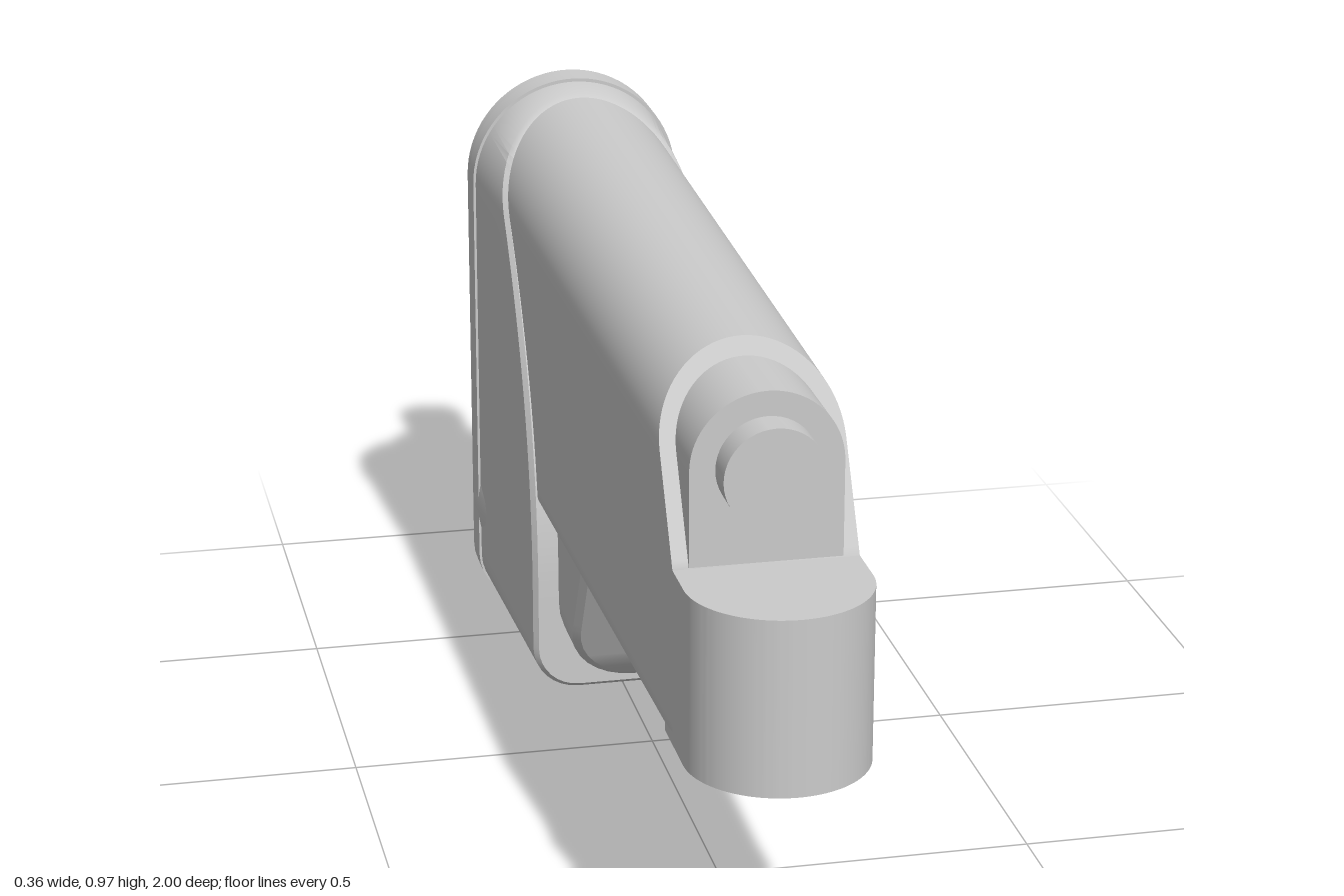
import * as THREE from 'three';
import { toCreasedNormals } from 'three/addons/utils/BufferGeometryUtils.js';

const SHAFT_Y = 0.79, BORE_Y = 0.185;

// Right half of an upright section: rounded lower corner, straight side, half-round top
function halfSection(w, y0, y1, r) {
  const pts = [];
  for (let i = 0; i <= 8; i++) {
    const a = -Math.PI / 2 + (i / 8) * Math.PI / 2;
    pts.push([w - r + r * Math.cos(a), y0 + r + r * Math.sin(a)]);
  }
  for (let i = 1; i < 32; i++) pts.push([w, y0 + r + (y1 - w - y0 - r) * i / 32]);
  for (let i = 0; i <= 20; i++) {
    const a = (i / 20) * Math.PI / 2;
    pts.push([w * Math.cos(a), y1 - w + w * Math.sin(a)]);
  }
  return pts;
}

const mirrored = (half) => half.concat(half.map(([x, y]) => [-x, y]).reverse());

// Surface through sections listed front to back; zOf(y) bends a section along z
function loft(sections, capBack = false) {
  const pos = [], idx = [];
  const loops = sections.map(({ half, zOf }) => mirrored(half).map(([x, y]) => [x, y, zOf(y)]));
  const n = loops[0].length;
  loops.forEach((l) => l.forEach((p) => pos.push(...p)));
  for (let s = 0; s < loops.length - 1; s++) {
    for (let i = 0; i < n; i++) {
      const a = s * n + i, b = s * n + (i + 1) % n;
      idx.push(a, a + n, b, b, a + n, b + n);
    }
  }
  // Caps are horizontal strips between mirrored points
  const back = (loops.length - 1) * n;
  for (let i = 0; i < n / 2 - 1; i++) {
    const a = i, b = i + 1, c = n - 2 - i, d = n - 1 - i;
    idx.push(a, b, c, a, c, d);
    if (capBack) idx.push(back + a, back + c, back + b, back + a, back + d, back + c);
  }
  const g = new THREE.BufferGeometry();
  g.setAttribute('position', new THREE.Float32BufferAttribute(pos, 3));
  g.setIndex(idx);
  return toCreasedNormals(g, 0.55);
}

// Turned part about the z axis; profile is [radius, distance towards the back]
function turned(profile, y) {
  const g = new THREE.LatheGeometry(profile.map(([r, d]) => new THREE.Vector2(r, d)), 48);
  g.rotateX(-Math.PI / 2).translate(0, y, 0);
  return toCreasedNormals(g, 0.5);
}

function archShape(w, y0, y1, r, holes = []) {
  const pts = mirrored(halfSection(w, y0, y1, r));
  pts.splice(pts.length / 2, 1);
  const shape = new THREE.Shape(pts.map(([x, y]) => new THREE.Vector2(x, y)));
  for (const [x, y, radius] of holes) {
    shape.holes.push(new THREE.Path().absarc(x, y, radius, 0, Math.PI * 2, true));
  }
  return shape;
}

function slab(shape, z0, z1) {
  const g = new THREE.ExtrudeGeometry(shape, { depth: z1 - z0, bevelEnabled: false, curveSegments: 24 });
  g.translate(0, 0, z0);
  return toCreasedNormals(g, 0.5);
}

export function createModel() {
  const model = new THREE.Group();
  const material = new THREE.MeshStandardMaterial({ color: 0xcccccc });
  const add = (name, geometry, parent = model) => {
    const mesh = new THREE.Mesh(geometry, material);
    mesh.name = name;
    parent.add(mesh);
    return mesh;
  };

  // Long tapered arm with a slanted front
  const slant = (y) => 0.79 - Math.max(0, y - 0.64) * 0.586;
  add('arm', loft([
    { half: halfSection(0.138, 0.37, 0.93, 0.02), zOf: slant },
    { half: halfSection(0.158, 0.345, 0.953, 0.02), zOf: () => -0.65 },
  ]));

  // Rounded nose below the slant
  const nose = new THREE.Shape();
  nose.moveTo(-0.138, -0.74);
  nose.lineTo(0.138, -0.74);
  nose.lineTo(0.138, -0.862);
  nose.absarc(0, -0.862, 0.138, 0, Math.PI, true);
  nose.closePath();
  const noseGeometry = new THREE.ExtrudeGeometry(nose, { depth: 0.272, bevelEnabled: false, curveSegments: 32 });
  noseGeometry.rotateX(-Math.PI / 2).translate(0, 0.37, 0);
  add('nose', toCreasedNormals(noseGeometry, 0.5));

  // Boss and round cap on the slanted face
  add('frontBoss', slab(archShape(0.114, 0.6, 0.904, 0.01), 0.55, 0.788));
  add('frontCap', turned([[0.076, -0.84], [0.076, -0.75]], SHAFT_Y));
  const capFace = new THREE.CircleGeometry(0.076, 48);
  capFace.translate(0, SHAFT_Y, 0.84);
  add('frontCapFace', capFace);

  // Rear housing with a curved front edge
  const curve = (y) => -0.2 - 0.4 * Math.pow(Math.max(0, (y - 0.2) / 0.755), 2.2);
  add('rearHousing', loft([
    { half: halfSection(0.155, 0.028, 0.95, 0.07), zOf: curve },
    { half: halfSection(0.163, 0.02, 0.958, 0.078), zOf: (y) => curve(y) - 0.01 },
    { half: halfSection(0.176, 0.006, 0.965, 0.085), zOf: () => -0.665 },
  ]));

  // Sloped tongue under the arm
  const tongue = (inset) => halfSection(0.12 - inset, 0.065 + inset, 0.5, 0.118 - inset);
  const tongueSlope = (y) => -0.13 + (y - 0.065) * 0.56;
  const tongueFace = (y) => Math.min(tongueSlope(y), 0.06);
  add('lowerTongue', loft([
    { half: tongue(0.012), zOf: tongueFace },
    { half: tongue(0), zOf: (y) => tongueFace(y) - 0.012 },
    { half: tongue(0), zOf: () => -0.25 },
  ]));

  // Back plate with screw holes and an opening for the bore
  const bore = [0, BORE_Y, 0.15];
  const holes = [bore];
  for (const s of [-1, 1]) {
    for (const y of [0.65, 0.49, 0.345]) holes.push([s * 0.138, y, 0.012]);
    for (const y of [0.585, 0.42]) holes.push([s * 0.087, y, 0.012]);
    for (const y of [0.61, 0.455]) holes.push([s * 0.145, y, 0.005]);
    holes.push([s * 0.045, 0.935, 0.006]);
  }
  const plate = new THREE.Group();
  plate.name = 'backPlate';
  model.add(plate);
  add('plateBase', slab(archShape(0.18, 0.002, 0.97, 0.09, [bore]), -0.7, -0.66), plate);
  add('plateFace', slab(archShape(0.18, 0.002, 0.97, 0.09, holes), -0.72, -0.7), plate);

  // Flared swelling round the bore, showing through the housing sides
  add('boreSwelling', turned([[0.155, 0.45], [0.181, 0.66], [0.181, 0.7]], BORE_Y));

  // Bore ring, stepped inside, with a deep blind bore
  add('boreRing', turned([
    [0.17, 0.715], [0.17, 0.748], [0.164, 0.755], [0.152, 0.755], [0.152, 0.737],
    [0.13, 0.737], [0.13, 0.45], [0, 0.45],
  ], BORE_Y));
  for (let i = 0; i < 8; i++) {
    const a = (i + 0.5) * Math.PI / 4;
    const screw = turned([[0.006, 0.73], [0.006, 0.741], [0, 0.741]], 0);
    add('ringScrew', screw).position.set(0.141 * Math.cos(a), BORE_Y + 0.141 * Math.sin(a), 0);
  }

  // Stepped hub and hollow output shaft
  add('shaftHub', turned([
    [0.105, 0.715], [0.105, 0.75], [0.114, 0.755], [0.114, 0.8], [0.108, 0.806],
    [0.1, 0.806], [0.1, 0.825], [0, 0.825],
  ], SHAFT_Y));
  add('outputShaft', turned([
    [0.06, 0.82], [0.06, 0.997], [0.057, 1], [0.031, 1], [0.031, 0.88], [0, 0.88],
  ], SHAFT_Y));
  for (let i = 0; i < 6; i++) {
    const a = (i + 0.5) * Math.PI / 3;
    const screw = turned([[0.012, 0.82], [0.012, 0.84], [0, 0.84]], 0);
    add('hubScrew', screw).position.set(0.08 * Math.cos(a), SHAFT_Y + 0.08 * Math.sin(a), 0);
  }

  return model;
}
